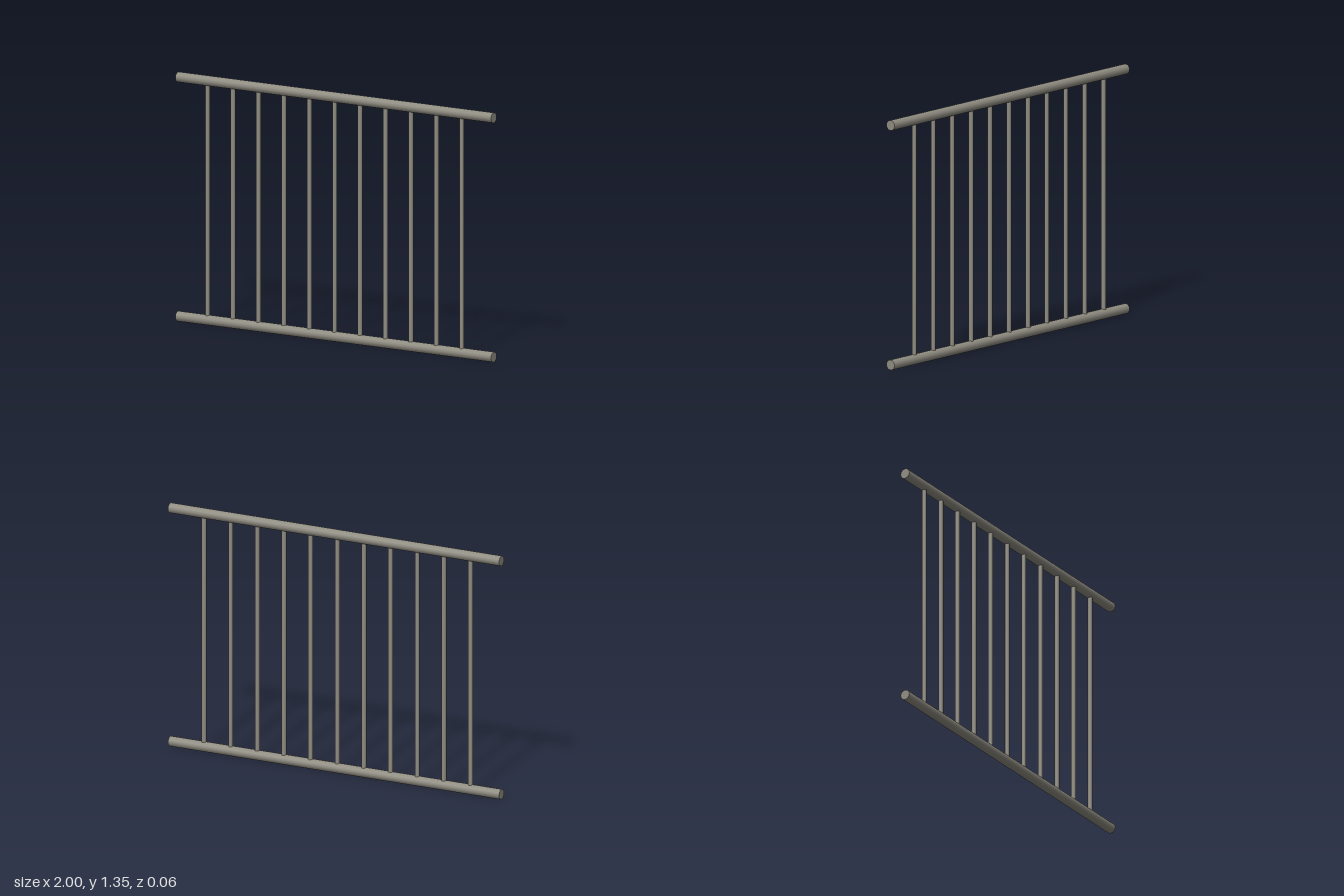
import * as THREE from 'three';

const RAIL_RADIUS = 0.028;
const BAR_RADIUS = 0.013;
const TOP_Y = 1.32;
const BAR_COUNT = 11;
const BAR_STEP = 0.161;

export function createModel() {
  const model = new THREE.Group();
  model.name = 'railing';
  const metal = new THREE.MeshStandardMaterial({ color: 0x8f8c81 });
  metal.name = 'warm grey metal';

  // Horizontal round rails, bottom and top
  const railGeometry = new THREE.CylinderGeometry(RAIL_RADIUS, RAIL_RADIUS, 2, 12);
  railGeometry.rotateZ(Math.PI / 2);
  for (const [name, y] of [['bottomRail', RAIL_RADIUS], ['topRail', TOP_Y]]) {
    const rail = new THREE.Mesh(railGeometry, metal);
    rail.name = name;
    rail.position.y = y;
    model.add(rail);
  }

  // Evenly spaced upright bars, ending inside the rails
  const barGeometry = new THREE.CylinderGeometry(BAR_RADIUS, BAR_RADIUS, TOP_Y - RAIL_RADIUS, 12);
  const bars = new THREE.Group();
  bars.name = 'bars';
  for (let i = 0; i < BAR_COUNT; i++) {
    const bar = new THREE.Mesh(barGeometry, metal);
    bar.name = `bar${i + 1}`;
    bar.position.set(-0.813 + i * BAR_STEP, (TOP_Y + RAIL_RADIUS) / 2, 0);
    bars.add(bar);
  }
  model.add(bars);

  return model;
}
